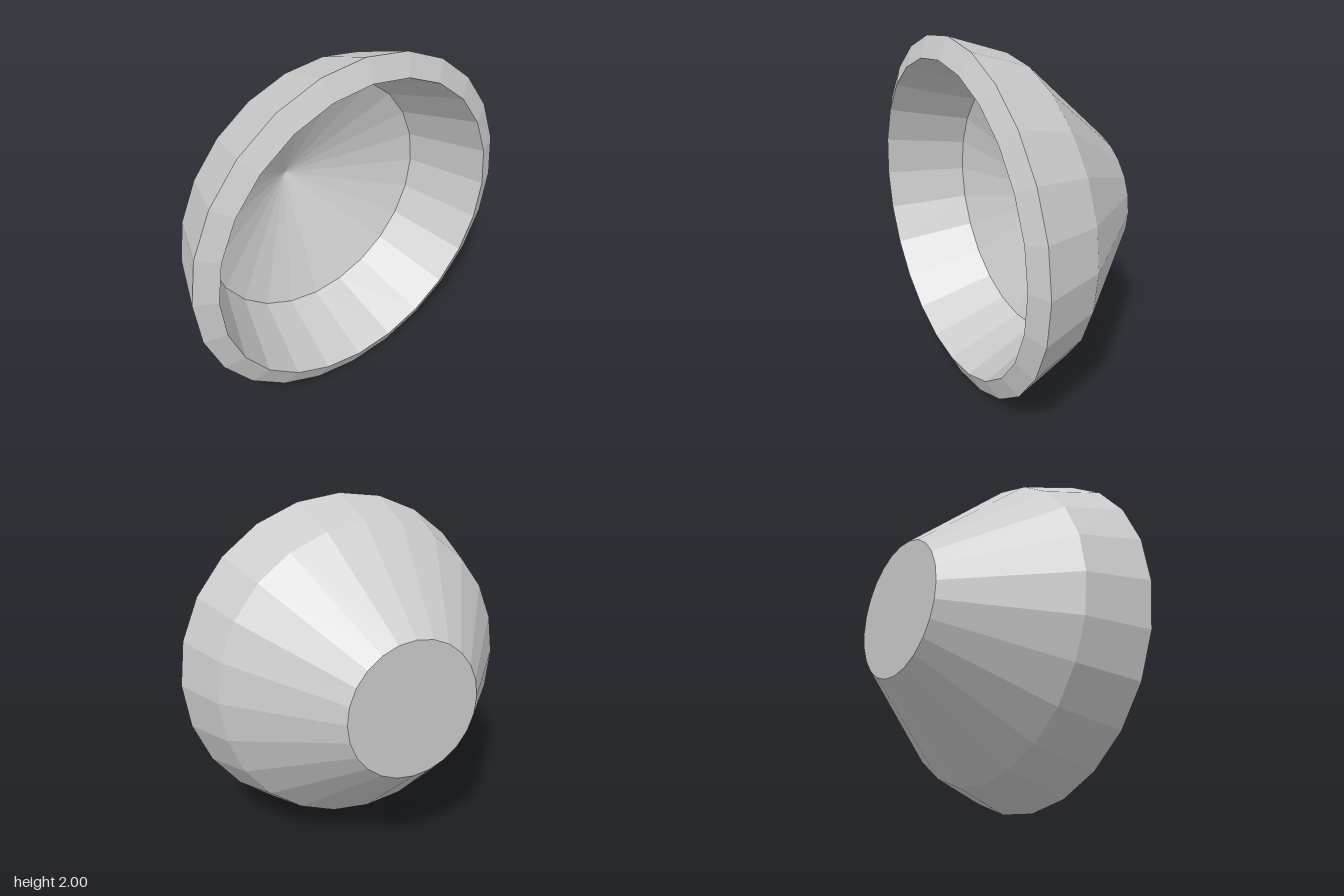
import * as THREE from 'three';

const SIDES = 24;

export function createModel() {
  const group = new THREE.Group();
  group.name = 'reflectorBowl';

  // closed cross-section [radius, depth]: back cap, outer wall, bevelled rim, inner wall, conical floor
  const profile = [
    [0, -0.475], [0.39, -0.475], [0.885, 0.08], [1, 0.415],
    [0.885, 0.47], [0.72, 0.025], [0, -0.305],
  ].map(([r, d]) => new THREE.Vector2(r, d));

  const geometry = new THREE.LatheGeometry(profile, SIDES);
  geometry.rotateX(Math.PI / 2); // open side faces the front
  geometry.translate(0, 1, 0);

  const bowl = new THREE.Mesh(
    geometry,
    new THREE.MeshStandardMaterial({ color: 0xcccccc, flatShading: true })
  );
  bowl.name = 'bowl';
  group.add(bowl);
  return group;
}
